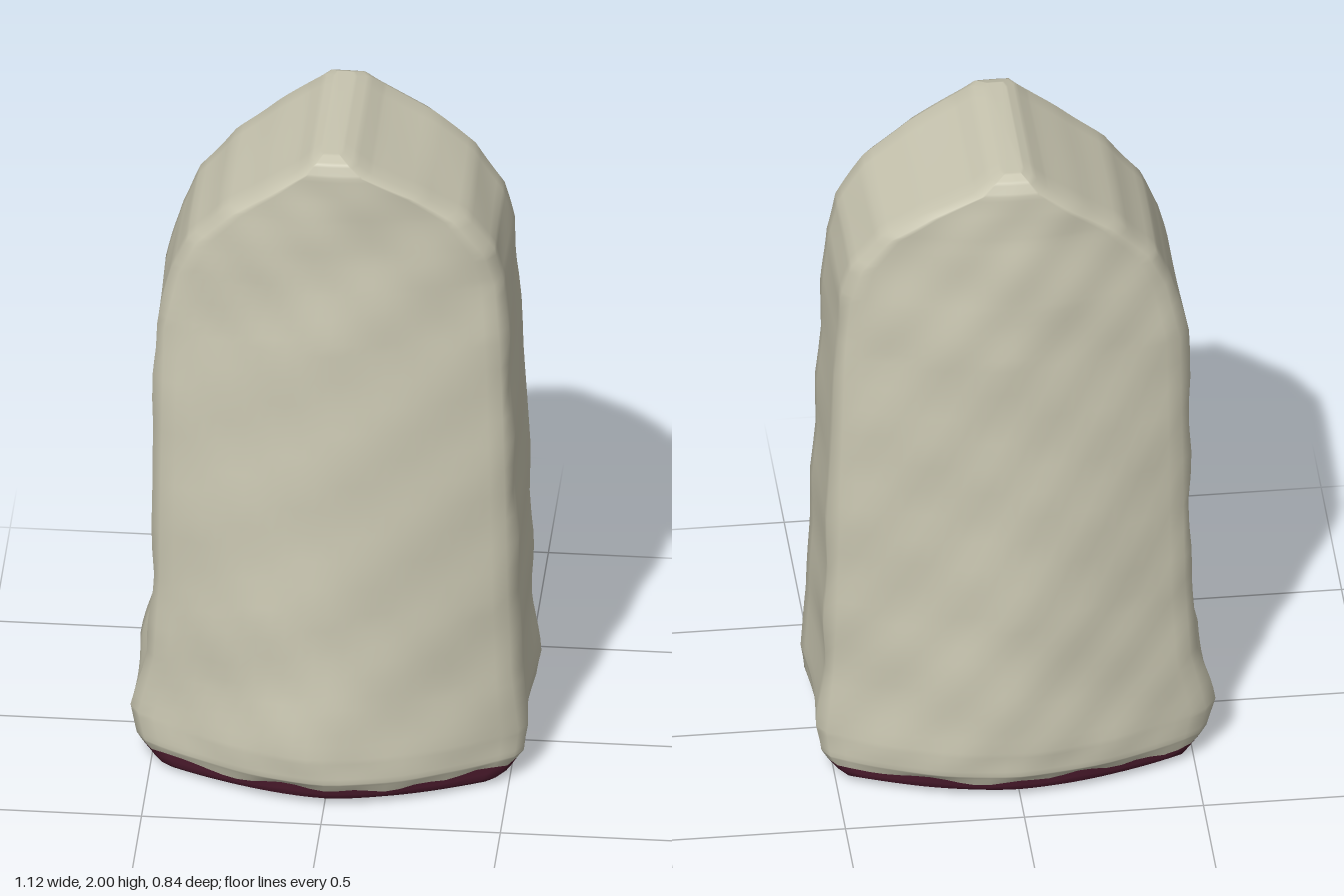
import * as THREE from 'three';

// Cross-sections, bottom to top: y, left x, right x, front z, back z, front corner z, back corner z
const STONE = [
  [0.05, -0.52, 0.52, 0.40, -0.40, 0.21, -0.25],
  [0.08, -0.54, 0.54, 0.42, -0.42, 0.22, -0.26],
  [0.16, -0.56, 0.55, 0.42, -0.425, 0.22, -0.26],
  [0.35, -0.515, 0.53, 0.395, -0.41, 0.21, -0.25],
  [0.60, -0.50, 0.52, 0.375, -0.395, 0.205, -0.245],
  [1.00, -0.495, 0.51, 0.34, -0.37, 0.195, -0.23],
  [1.40, -0.49, 0.495, 0.30, -0.345, 0.175, -0.21],
  [1.58, -0.45, 0.48, 0.28, -0.33, 0.16, -0.20],
  [1.69, -0.40, 0.45, 0.268, -0.315, 0.16, -0.20],
  [1.80, -0.30, 0.37, 0.26, -0.30, 0.16, -0.20],
  [1.88, -0.19, 0.255, 0.257, -0.295, 0.16, -0.20],
  [1.95, -0.095, 0.12, 0.255, -0.288, 0.16, -0.20],
  [1.985, -0.055, 0.07, 0.24, -0.27, 0.16, -0.20],
  [2.00, -0.025, 0.03, 0.20, -0.24, 0.16, -0.20],
];
const BASE = [
  [0.008, -0.46, 0.46, 0.37, -0.37, 0.20, -0.23],
  [0.022, -0.49, 0.49, 0.395, -0.395, 0.21, -0.25],
  [0.05, -0.52, 0.52, 0.40, -0.40, 0.21, -0.25],
];
const FACE = 24, SIDE = 8;

// Shallow hand-hewn unevenness
const lump = (x, y, z) =>
  0.004 * Math.sin(9 * x + 5 * y + 3 * z) + 0.003 * Math.sin(17 * y - 11 * x + 8 * z) +
  0.002 * Math.sin(29 * x + 23 * y);

// One closed outline: bowed front and back, nearly flat sides, softened corners
function ring([y, l, r, f, b, cf, cb]) {
  const pts = [];
  const chamfer = Math.min(0.025, (r - l) * 0.12);
  const bow = (x, mid, corner) => mid - (mid - corner) * Math.pow(Math.abs(x) / 0.52, 1.7);
  const amount = Math.min(1, (2 - y) * 8, y * 8);
  const add = (x, z, nx, nz) => {
    const d = lump(x, y, z) * amount;
    // The bottom rim of the stone is ragged
    const rag = Math.max(0, 1 - Math.abs(y - 0.05) / 0.025) *
      (0.006 * Math.sin(13 * x + 7 * z) + 0.005 * Math.sin(31 * x - 19 * z));
    pts.push([x + nx * d, y + rag, z + nz * d]);
  };
  const x0 = l + chamfer, x1 = r - chamfer;
  const wall = (x, sign, from, to) => {
    for (let i = 0; i <= SIDE; i++) {
      const t = i / SIDE;
      const hollow = 0.015 * Math.sin(Math.PI * t) * Math.max(0, 1 - y);
      add(x - sign * hollow, from + (to - from) * t, sign, 0);
    }
  };
  const fz = x => bow(x, f, cf), bz = x => bow(x, b, cb);
  for (let i = 0; i <= FACE; i++) {
    const x = x0 + (x1 - x0) * i / FACE;
    add(x, fz(x), 0, 1);
  }
  wall(r, 1, fz(r) - 0.025, bz(r) + 0.025);
  for (let i = 0; i <= FACE; i++) {
    const x = x1 + (x0 - x1) * i / FACE;
    add(x, bz(x), 0, -1);
  }
  wall(l, -1, bz(l) + 0.025, fz(l) - 0.025);
  return pts;
}

// Skin a stack of sections, with an optional cap at the top or bottom
function loft(table, steps, cap) {
  const rings = [];
  table.forEach((row, k) => {
    const next = table[k + 1];
    const n = next ? steps : 1;
    for (let s = 0; s < n; s++) rings.push(ring(row.map((v, c) => next ? v + (next[c] - v) * s / n : v)));
  });
  const n = rings[0].length;
  const pos = rings.flat(2), index = [];
  for (let j = 0; j < rings.length - 1; j++) {
    for (let i = 0; i < n; i++) {
      const a = j * n + i, b = j * n + (i + 1) % n;
      index.push(a, b, b + n, a, b + n, a + n);
    }
  }
  const centre = pos.length / 3;
  pos.push(0, cap === 'top' ? 2 : 0, cap === 'top' ? -0.02 : 0);
  const start = cap === 'top' ? (rings.length - 1) * n : 0;
  for (let i = 0; i < n; i++) {
    const a = start + i, b = start + (i + 1) % n;
    if (cap === 'top') index.push(centre, a, b);
    else index.push(centre, b, a);
  }
  const geo = new THREE.BufferGeometry();
  geo.setAttribute('position', new THREE.Float32BufferAttribute(pos, 3));
  geo.setIndex(index);
  geo.computeVertexNormals();
  return geo;
}

export function createModel() {
  const group = new THREE.Group();
  group.name = 'standingStone';
  const stone = new THREE.MeshStandardMaterial({ color: 0xc8c5b0 });
  stone.name = 'pale stone';
  const dark = new THREE.MeshStandardMaterial({ color: 0x4a1a2c });
  dark.name = 'dark red underside';

  // Tapered slab with an arched, pointed top
  const body = new THREE.Mesh(loft(STONE, 5, 'top'), stone);
  body.name = 'stoneBody';
  // Dark underside closing the slab
  const underside = new THREE.Mesh(loft(BASE, 2, 'bottom'), dark);
  underside.name = 'underside';
  group.add(body, underside);
  return group;
}
